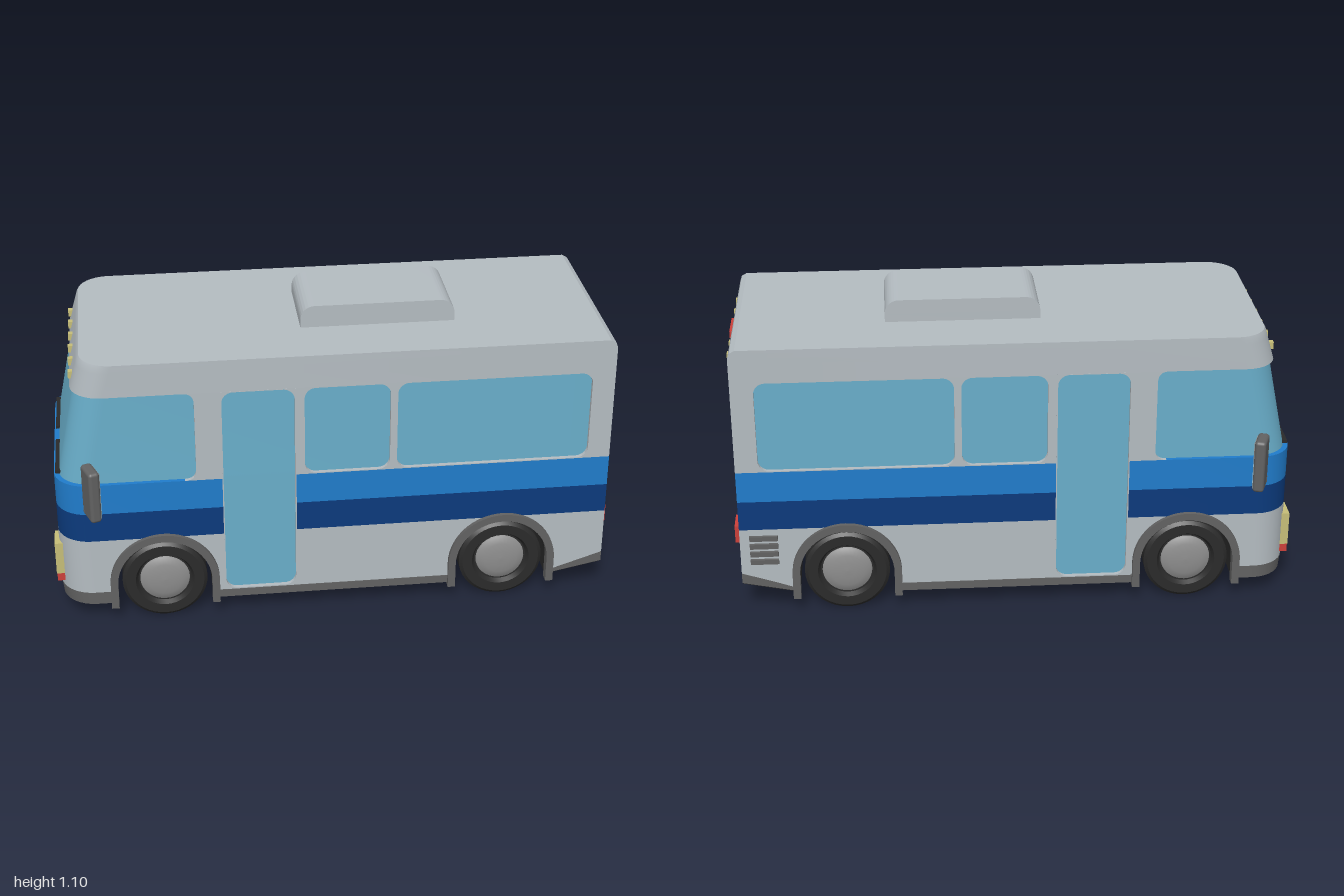
import * as THREE from 'three';
import { toCreasedNormals } from 'three/addons/utils/BufferGeometryUtils.js';
import { RoundedBoxGeometry } from 'three/addons/geometries/RoundedBoxGeometry.js';

const mat = (name, color) => Object.assign(new THREE.MeshStandardMaterial({ color }), { name });

// Closed plan outline with rounded front (-x) corners, lofted through levels [y, frontX, rearX]
function loft(levels, w, r) {
  const pos = [], idx = [], steps = 8;
  let n = 0;
  for (const [y, xf, xr] of levels) {
    const ring = [[xr, w]];
    for (let i = 0; i <= steps; i++) {
      const a = (i / steps) * Math.PI / 2;
      ring.push([xf + r - r * Math.sin(a), w - r + r * Math.cos(a)]);
    }
    ring.push(...ring.map(([x, z]) => [x, -z]).reverse());
    n = ring.length;
    ring.forEach(([x, z]) => pos.push(x, y, z));
  }
  for (let k = 0; k < levels.length - 1; k++) {
    for (let i = 0; i < n; i++) {
      const j = (i + 1) % n, a = k * n, b = a + n;
      idx.push(a + i, b + i, b + j, a + i, b + j, a + j);
    }
  }
  const top = (levels.length - 1) * n;
  for (let i = 1; i < n - 1; i++) {
    idx.push(top, top + i + 1, top + i);
    idx.push(0, i, i + 1);
  }
  const g = new THREE.BufferGeometry();
  g.setAttribute('position', new THREE.Float32BufferAttribute(pos, 3));
  g.setIndex(idx);
  return toCreasedNormals(g, 0.5);
}

// Rounded rectangle path between two corners
function roundRect(x0, y0, x1, y1, r, Type = THREE.Path) {
  const p = new Type();
  p.moveTo(x0 + r, y0);
  p.lineTo(x1 - r, y0).absarc(x1 - r, y0 + r, r, -Math.PI / 2, 0, false);
  p.lineTo(x1, y1 - r).absarc(x1 - r, y1 - r, r, 0, Math.PI / 2, false);
  p.lineTo(x0 + r, y1).absarc(x0 + r, y1 - r, r, Math.PI / 2, Math.PI, false);
  p.lineTo(x0, y0 + r).absarc(x0 + r, y0 + r, r, Math.PI, Math.PI * 1.5, false);
  return p;
}

const poly = (pts) => new THREE.Shape(pts.map(([x, y]) => new THREE.Vector2(x, y)));
const rect = (x0, y0, x1, y1) => poly([[x0, y0], [x1, y0], [x1, y1], [x0, y1]]);

// Extrusion along z, centred on z = 0
function slab(shape, depth) {
  const g = new THREE.ExtrudeGeometry(shape, { depth, bevelEnabled: false, curveSegments: 16 });
  g.translate(0, 0, -depth / 2);
  return toCreasedNormals(g, 0.5);
}

export function createModel() {
  const body = mat('bodyGrey', 0xb4bcc1), blue = mat('stripeBlue', 0x207ccb), navy = mat('stripeNavy', 0x0b3a7c);
  const glass = mat('glass', 0x69aeca), paleGlass = mat('paleGlass', 0x95b8c9), trim = mat('trimGrey', 0x626262);
  const black = mat('rubberBlack', 0x2a2a2a), hub = mat('hubGrey', 0x8e8e8e);
  const red = mat('lightRed', 0xcc403a), amber = mat('lightYellow', 0xc6be78);

  const model = new THREE.Group();
  model.name = 'bus';
  const add = (name, geo, m, x = 0, y = 0, z = 0, parent = model) => {
    const mesh = new THREE.Mesh(geo, m);
    mesh.name = name;
    mesh.position.set(x, y, z);
    parent.add(mesh);
    return mesh;
  };
  // Box given by its two extremes
  const box = (name, m, x0, x1, y0, y1, z0, z1, parent) =>
    add(name, new THREE.BoxGeometry(x1 - x0, y1 - y0, z1 - z0), m, (x0 + x1) / 2, (y0 + y1) / 2, (z0 + z1) / 2, parent);

  const W = 0.375, XF = -0.985, XR = 0.98, D0 = -0.4, D1 = -0.14;
  const WHEELS = [-0.615, 0.605], WY = 0.155;

  // Lower body with wheel tunnels
  add('lowerNose', loft([[0.12, XF, -0.8], [0.335, XF, -0.8]], W, 0.12), body);
  const lower = (pre, cx, post) => {
    const s = new THREE.Shape();
    pre.forEach(([x, y], i) => (i ? s.lineTo(x, y) : s.moveTo(x, y)));
    s.lineTo(cx - 0.175, 0.1).lineTo(cx - 0.175, WY);
    s.absarc(cx, WY, 0.175, Math.PI, 0, true);
    s.lineTo(cx + 0.175, 0.1);
    post.forEach(([x, y]) => s.lineTo(x, y));
    return slab(s, W * 2);
  };
  add('lowerBodyFront', lower([[-0.81, 0.335], [-0.81, 0.1]], WHEELS[0], [[D0, 0.1], [D0, 0.335]]), body);
  add('lowerBodyRear', lower([[D1, 0.335], [D1, 0.1]], WHEELS[1], [[0.8, 0.1], [XR, 0.16], [XR, 0.335]]), body);
  box('lowerDoorCore', body, D0, D1, 0.09, 0.56, -0.355, 0.355);

  // Painted waist bands, interrupted by the doors
  for (const [name, m, y0, y1] of [['navyBand', navy, 0.335, 0.445], ['blueBand', blue, 0.445, 0.56]]) {
    add(name + 'Front', loft([[y0, XF, D0], [y1, XF, D0]], W, 0.12), m);
    box(name + 'Rear', m, D1, XR, y0, y1, -W, W);
  }

  // Wraparound glazing and the roof above it
  add('windscreenAndGlazing', loft([[0.56, -0.968, 0.968], [0.9, -0.898, 0.968]], 0.36, 0.11), glass);
  add('roof', loft([[0.9, -0.91, XR], [0.99, -0.884, XR], [1.01, -0.878, 0.973], [1.02, -0.872, 0.955]], W, 0.11), body);
  const hump = new THREE.Shape();
  hump.moveTo(-0.1, 1.01).lineTo(0.445, 1.01).lineTo(0.445, 1.05);
  hump.absarc(0.395, 1.05, 0.05, 0, Math.PI / 2, false);
  hump.lineTo(-0.05, 1.1).absarc(-0.05, 1.05, 0.05, Math.PI / 2, Math.PI, false);
  add('roofUnit', slab(hump, 0.3), body);

  // Side pillars, window frames and doors
  const pillar = new THREE.Shape();
  pillar.moveTo(D0, 0.56).lineTo(D0, 0.9).lineTo(-0.53, 0.9);
  pillar.quadraticCurveTo(-0.49, 0.9, -0.49, 0.86).lineTo(-0.49, 0.6).quadraticCurveTo(-0.49, 0.56, -0.53, 0.56);
  const sideWall = rect(D1, 0.56, XR, 0.9);
  sideWall.holes.push(roundRect(-0.11, 0.563, 0.19, 0.897, 0.04), roundRect(0.215, 0.563, 0.9, 0.897, 0.04));
  const doorFrame = rect(D0, 0.1, D1, 0.9);
  doorFrame.holes.push(roundRect(D0 + 0.004, 0.104, D1 - 0.004, 0.897, 0.04));

  // Wheel arch trim and dark tunnel liner
  const archShape = (ro, ri, yb) => {
    const s = new THREE.Shape();
    s.moveTo(-ro, yb).lineTo(-ro, 0).absarc(0, 0, ro, Math.PI, 0, true);
    s.lineTo(ro, yb).lineTo(ri, yb).lineTo(ri, 0);
    s.absarc(0, 0, ri, 0, Math.PI, false);
    s.lineTo(-ri, yb);
    return s;
  };
  const archGeo = slab(archShape(0.195, 0.168, -0.098), 0.035);
  const linerGeo = slab(archShape(0.1755, 0.17, -0.08), 0.71);
  const tyreProfile = [[0.085, -0.047], [0.14, -0.047], [0.152, -0.037], [0.152, 0.037], [0.14, 0.047], [0.105, 0.047], [0.095, 0.03], [0, 0.03]];
  const tyreGeo = toCreasedNormals(new THREE.LatheGeometry(tyreProfile.map(([r, y]) => new THREE.Vector2(r, y)), 40), 0.5);
  const hubProfile = [[0.09, 0.028], [0.086, 0.036], [0.06, 0.044], [0.03, 0.048], [0, 0.049]];
  const hubGeo = new THREE.LatheGeometry(hubProfile.map(([r, y]) => new THREE.Vector2(r, y)), 32);

  for (const s of [1, -1]) {
    add('doorPillar', slab(pillar, 0.02), body, 0, 0, s * 0.365);
    add('sideWindowFrame', slab(sideWall, 0.02), body, 0, 0, s * 0.365);
    add('doorFrame', slab(doorFrame, 0.02), body, 0, 0, s * 0.3655);
    box('doorGlass', glass, D0, D1, 0.1, 0.565, s * 0.357 - 0.003, s * 0.357 + 0.003);
    box('sideSill', trim, -0.43, 0.42, 0.07, 0.1, s * 0.36 - 0.017, s * 0.36 + 0.017);

    for (const cx of WHEELS) {
      add('wheelArch', archGeo, trim, cx, WY, s * 0.3725);
      const wheel = new THREE.Group();
      wheel.name = 'wheel';
      wheel.position.set(cx, WY, s * 0.325);
      wheel.rotation.x = s * Math.PI / 2;
      add('tyre', tyreGeo, black, 0, 0, 0, wheel);
      add('hub', hubGeo, hub, 0, 0, 0, wheel);
      add('tyreBack', new THREE.CylinderGeometry(0.1, 0.1, 0.02, 24), black, 0, -0.03, 0, wheel);
      model.add(wheel);
    }

    // Mirrors with split rear-facing glass
    const mirror = new THREE.Group();
    mirror.name = 'mirror';
    mirror.position.set(-0.855, 0.567, s * 0.434);
    mirror.rotation.y = s * 0.35;
    add('mirrorHousing', new RoundedBoxGeometry(0.04, 0.195, 0.09, 3, 0.012), trim, 0, 0, 0, mirror);
    box('mirrorUpper', hub, 0.018, 0.022, 0.008, 0.087, -0.035, 0.035, mirror);
    box('mirrorLower', paleGlass, 0.018, 0.022, -0.087, 0.008, -0.035, 0.035, mirror);
    model.add(mirror);
    box('mirrorArm', trim, -0.885, -0.86, 0.48, 0.505, s * 0.38 - 0.035, s * 0.38 + 0.035);

    // Front and rear lamps, wipers
    const zl = s * 0.265;
    box('headlight', amber, -1, -0.95, 0.17, 0.295, zl - 0.045, zl + 0.045);
    box('frontIndicator', red, -0.998, -0.95, 0.14, 0.17, zl - 0.045, zl + 0.045);
    box('tailLight', red, 0.97, 1, 0.255, 0.32, s * 0.27 - 0.045, s * 0.27 + 0.045);
    for (const z of [0.15, 0.255]) box('rearMarker', amber, 0.97, 0.99, 0.94, 0.965, s * z - 0.0125, s * z + 0.0125);
    for (const z of [0.05, 0.15, 0.25]) box('frontMarker', amber, -0.912, -0.88, 0.925, 0.95, s * z - 0.01, s * z + 0.01);
    box('wiper', black, -0.979, -0.96, 0.565, 0.577, s * 0.165 - 0.115, s * 0.165 + 0.115);
  }

  // Rear window, wall, plate and high brake light
  const rearWall = rect(-W, 0.56, W, 0.9);
  rearWall.holes.push(roundRect(-0.32, 0.58, 0.32, 0.87, 0.06));
  add('rearWindowFrame', slab(rearWall, 0.02), body, 0.97).rotation.y = Math.PI / 2;
  box('rearWindow', paleGlass, 0.965, 0.97, 0.57, 0.88, -0.33, 0.33);
  box('rearPlate', body, 0.975, 0.985, 0.2, 0.31, -0.105, 0.105);
  box('highBrakeLight', red, 0.97, 0.994, 0.94, 0.965, -0.065, 0.065);

  // Engine vents on the far side
  for (let i = 0; i < 4; i++) {
    const y = 0.21 + i * 0.031;
    box('ventSlat', trim, 0.845, 0.945, y - 0.01, y + 0.008, -0.386, -0.37);
  }

  // Skirts and underside
  add('frontSkirt', loft([[0.072, XF + 0.005, -0.79], [0.12, XF, -0.79]], W, 0.12), trim);
  add('frontFloor', loft([[0.068, -0.96, -0.79], [0.075, -0.96, -0.79]], 0.35, 0.11), black);
  add('rearSkirt', slab(poly([[0.78, 0.085], [0.8, 0.085], [XR, 0.122], [XR, 0.161], [0.8, 0.101], [0.78, 0.101]]), W * 2), trim);
  add('rearFloor', slab(poly([[0.78, 0.08], [0.8, 0.08], [0.979, 0.117], [0.979, 0.125], [0.78, 0.09]]), 0.74), black);
  box('floor', black, -0.435, 0.425, 0.075, 0.1, -0.345, 0.345);
  box('floorBracket', black, -0.05, 0.01, 0.062, 0.08, -0.05, 0.05);
  for (const cx of WHEELS) {
    add('tunnelLiner', linerGeo, black, cx, WY, 0);
    for (const [r, len] of [[0.02, 0.58], [0.035, 0.3], [0.05, 0.1]]) {
      add('axle', new THREE.CylinderGeometry(r, r, len, 20), black, cx, WY, 0).rotation.x = Math.PI / 2;
    }
  }
  return model;
}
